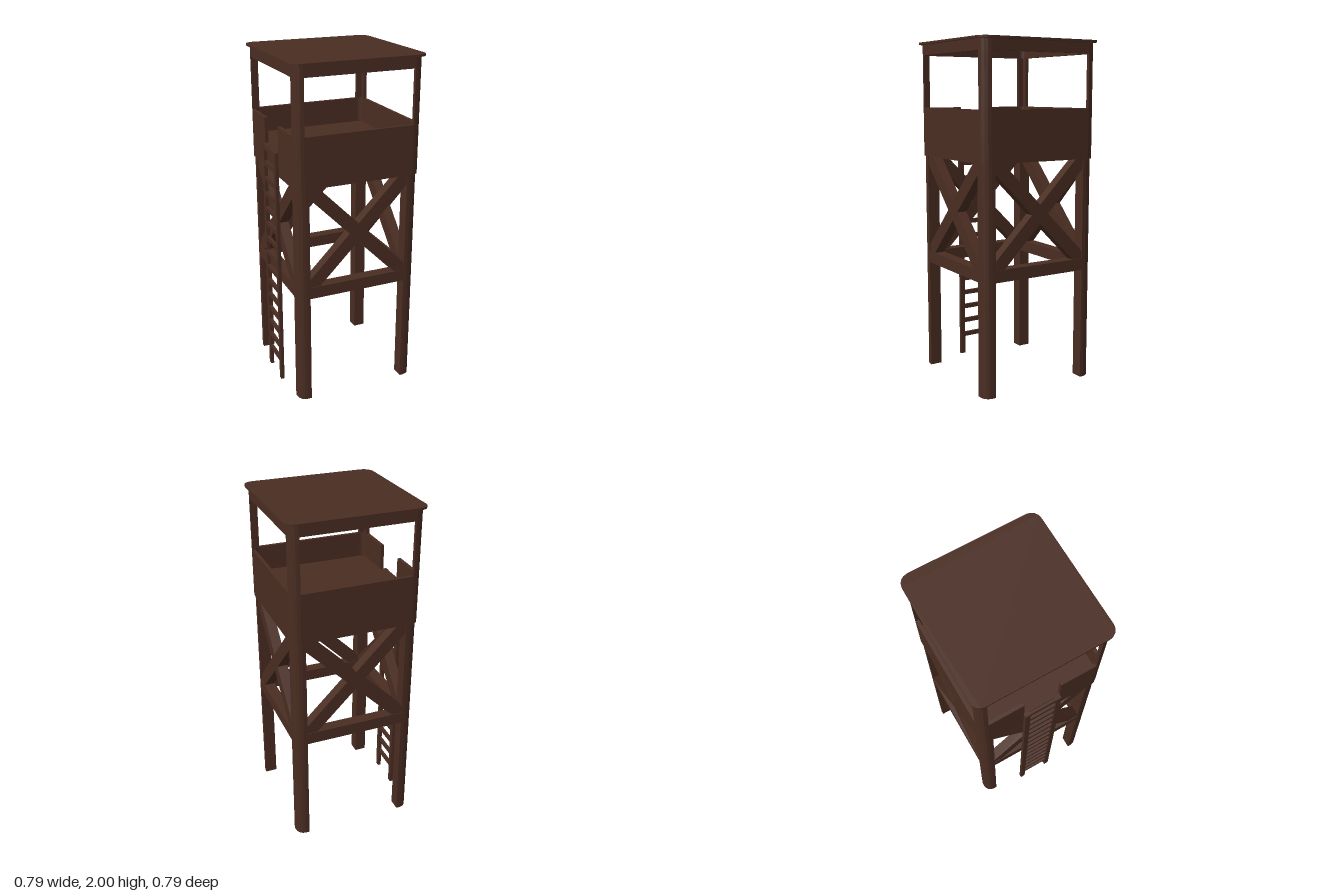
import * as THREE from 'three';

const wood = new THREE.MeshStandardMaterial({ color: 0x4a2d22 });
wood.name = 'darkBrownWood';

const HALF = 0.376, THICK = 0.02, RADIUS = 0.05; // cabin plan
const BASE = 1.325, FLOOR = 1.465, SILL = 1.615, HEAD = 1.925, EAVES = 1.988;

// quarter arc at plan corner k (0..3, counter-clockwise)
function arc(half, r, k = 0) {
  const pts = [];
  for (let i = 0; i <= 4; i++) {
    const a = (k + i / 4) * Math.PI / 2;
    const sx = k === 0 || k === 3 ? 1 : -1, sy = k < 2 ? 1 : -1;
    pts.push(new THREE.Vector2(sx * (half - r) + r * Math.cos(a), sy * (half - r) + r * Math.sin(a)));
  }
  return pts;
}
const outline = (half, r) => [2, 3, 0, 1].flatMap(k => arc(half, r, k));
const v = (x, y) => new THREE.Vector2(x, y);

// upright prism of a plan shape between two heights
function prism(name, pts, y0, y1, hole) {
  const shape = new THREE.Shape(pts);
  if (hole) shape.holes.push(new THREE.Path(hole));
  const geo = new THREE.ExtrudeGeometry(shape, { depth: y1 - y0, bevelEnabled: false });
  geo.rotateX(-Math.PI / 2);
  geo.translate(0, y0, 0);
  const mesh = new THREE.Mesh(geo, wood);
  mesh.name = name;
  return mesh;
}

function box(name, w, h, d, x, y, z) {
  const mesh = new THREE.Mesh(new THREE.BoxGeometry(w, h, d), wood);
  mesh.name = name;
  mesh.position.set(x, y, z);
  return mesh;
}

export function createModel() {
  const tower = new THREE.Group();
  tower.name = 'watchtower';
  const inner = HALF - THICK, innerR = RADIUS - THICK;

  // roof, eaves band and floor
  tower.add(prism('roof', outline(0.394, 0.057), EAVES, 2));
  tower.add(prism('eavesBand', outline(HALF, RADIUS), HEAD, EAVES, outline(inner, innerR)));
  tower.add(prism('floor', outline(HALF, RADIUS), BASE, FLOOR));

  // parapet with an opening at the ladder
  const gap = 0.11;
  tower.add(prism('parapet', [
    v(-HALF, -gap), ...outline(HALF, RADIUS), v(-HALF, gap),
    v(-inner, gap), ...outline(inner, innerR).reverse(), v(-inner, -gap),
  ], FLOOR, SILL));

  // four identical corners and sides
  const legIn = 0.298, legOut = 0.37, win = 0.323;
  for (let k = 0; k < 4; k++) {
    const side = new THREE.Group();
    side.name = 'side' + (k + 1);
    side.rotation.y = k * Math.PI / 2;

    side.add(prism('leg', [v(legIn, legIn), v(legOut, legIn), ...arc(legOut, RADIUS), v(legIn, legOut)], 0, BASE));
    side.add(prism('cornerPost', [
      v(HALF, win), ...arc(HALF, RADIUS), v(win, HALF),
      v(win, inner), v(inner, inner), v(inner, win),
    ], SILL, HEAD));

    side.add(box('crossBeam', 0.62, 0.07, 0.068, 0, 0.7, 0.335));
    for (const s of [-1, 1]) {
      const brace = box('diagonalBrace', 0.87, 0.077, 0.06, 0, 1.025, 0.335);
      brace.rotation.z = s * Math.PI / 4;
      side.add(brace);
    }
    tower.add(side);
  }

  // ladder
  const ladder = new THREE.Group();
  ladder.name = 'ladder';
  for (const s of [-1, 1]) ladder.add(box('ladderRail', 0.02, FLOOR, 0.03, -0.386, FLOOR / 2, s * 0.096));
  for (let i = 0; i < 15; i++) ladder.add(box('ladderRung', 0.016, 0.027, 0.17, -0.386, 0.127 + i * 0.0945, 0));
  tower.add(ladder);

  return tower;
}
